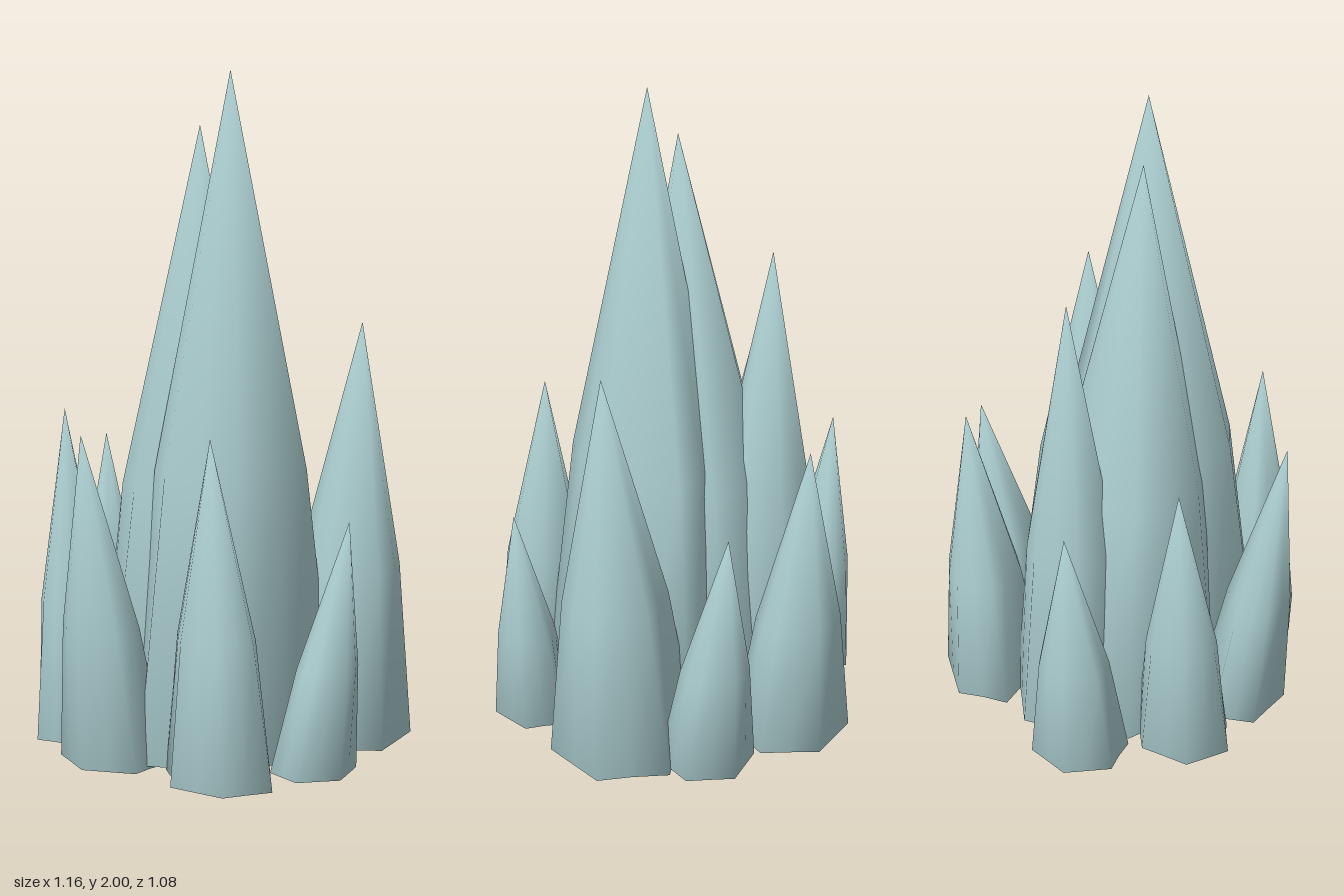
import * as THREE from 'three';

const material = new THREE.MeshStandardMaterial({ color: 0xabcdcf });

// tip: [x, y, z], base: [centre x, centre z, radius x, radius z], turn: angle of the first corner in degrees
const SPIKES = [
  { name: 'mainSpike', tip: [0.085, 2, 0.05], base: [0.1, 0.06, 0.31, 0.37], turn: 100 },
  { name: 'secondSpike', tip: [-0.02, 1.84, 0.06], base: [-0.08, 0.02, 0.32, 0.33], turn: 165 },
  { name: 'rearRightTallSpike', tip: [-0.24, 1.49, -0.11], base: [-0.21, -0.11, 0.22, 0.2], turn: -144 },
  { name: 'rearLeftTallSpike', tip: [0.38, 1.27, -0.2], base: [0.32, -0.19, 0.22, 0.22], turn: 20 },
  { name: 'backRightSpike', tip: [-0.17, 1, -0.44], base: [-0.165, -0.38, 0.19, 0.16], turn: -90 },
  { name: 'backLeftSpike', tip: [0.13, 0.82, -0.485], base: [0.14, -0.39, 0.15, 0.14], turn: -95 },
  { name: 'rightSpike', tip: [-0.5, 0.86, -0.06], base: [-0.46, -0.035, 0.12, 0.155], turn: 187 },
  { name: 'frontRightSpike', tip: [-0.39, 0.99, 0.25], base: [-0.33, 0.265, 0.125, 0.16], turn: 167 },
  { name: 'frontSpike', tip: [-0.09, 0.98, 0.51], base: [-0.075, 0.4, 0.175, 0.135], turn: 90 },
  { name: 'frontLeftSpike', tip: [0.27, 0.99, 0.37], base: [0.3, 0.365, 0.18, 0.145], turn: -6 },
  { name: 'leftSpike', tip: [0.535, 0.74, 0.07], base: [0.46, 0.13, 0.12, 0.14], turn: 13 },
];
const SIDES = 12; // six corners with a notch between each pair

// Notched, flared base, a rounder shoulder ring, then the tip; closed underneath
function spikeGeometry([tx, ty, tz], [cx, cz, rx, rz], turn) {
  const baseY = 0.012 - 0.03 * cz; // the ground line rises a little towards the back
  const positions = [], index = [];
  for (const [height, scale, notch, lean] of [[0, 1, 0.82, 0], [0.42, 0.71, 0.92, 0.4]]) {
    for (let i = 0; i < SIDES; i++) {
      const angle = THREE.MathUtils.degToRad(turn) + (i / SIDES) * Math.PI * 2;
      const r = scale * (i % 2 ? notch : 1) * (1 + 0.04 * Math.sin(i * 2.4));
      positions.push(
        cx + rx * r * Math.cos(angle) + (tx - cx) * lean,
        baseY + (ty - baseY) * height,
        cz + rz * r * Math.sin(angle) + (tz - cz) * lean);
    }
  }
  const tip = 2 * SIDES, centre = tip + 1;
  positions.push(tx, ty, tz, cx, baseY, cz);
  for (let i = 0; i < SIDES; i++) {
    const j = (i + 1) % SIDES;
    index.push(i, SIDES + i, j, j, SIDES + i, SIDES + j); // lower wall
    index.push(SIDES + i, tip, SIDES + j);                // upper wall
    index.push(i, j, centre);                             // underside
  }
  const geometry = new THREE.BufferGeometry();
  geometry.setAttribute('position', new THREE.Float32BufferAttribute(positions, 3));
  geometry.setIndex(index);
  geometry.computeVertexNormals();
  return geometry;
}

export function createModel() {
  const group = new THREE.Group();
  group.name = 'crystalCluster';
  for (const { name, tip, base, turn } of SPIKES) {
    const spike = new THREE.Mesh(spikeGeometry(tip, base, turn), material);
    spike.name = name;
    group.add(spike);
  }
  return group;
}
